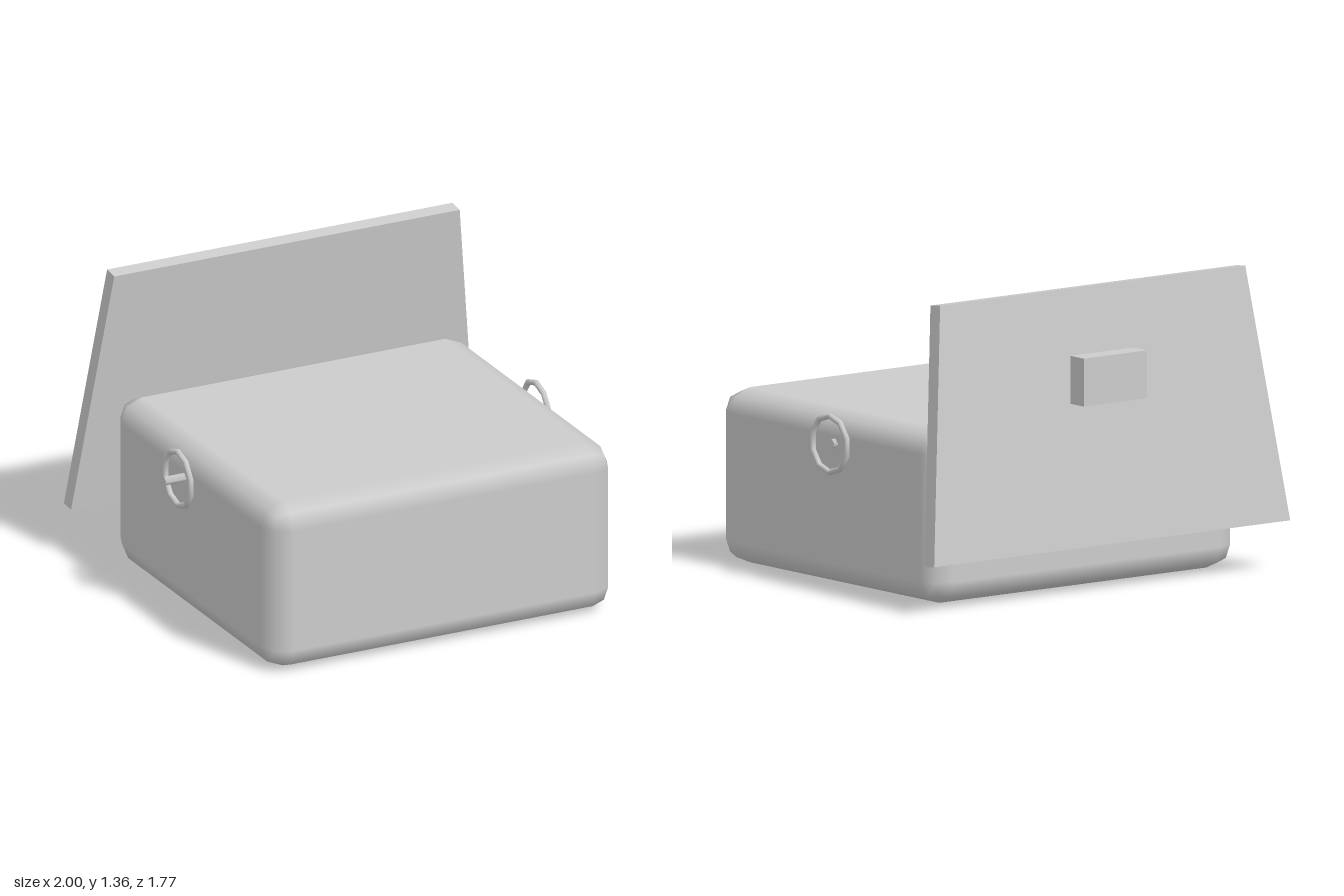
import * as THREE from 'three';
import { RoundedBoxGeometry } from 'three/addons/geometries/RoundedBoxGeometry.js';

export function createModel() {
  const model = new THREE.Group();
  const grey = new THREE.MeshStandardMaterial({ color: 0xcccccc });
  grey.name = 'light grey';

  const add = (name, geometry, x, y, z) => {
    const mesh = new THREE.Mesh(geometry, grey);
    mesh.name = name;
    mesh.position.set(x, y, z);
    model.add(mesh);
    return mesh;
  };

  // Soft-edged main box
  add('body', new RoundedBoxGeometry(1.714, 0.785, 1.57, 1, 0.107), 0, 0.3925, 0.1);

  // Leaning trapezoid panel behind the body, pivoting on its lower front edge
  const outline = new THREE.Shape([
    new THREE.Vector2(-1, 0),
    new THREE.Vector2(1, 0),
    new THREE.Vector2(0.857, 1.148),
    new THREE.Vector2(-0.857, 1.148),
  ]);
  const panelGeometry = new THREE.ExtrudeGeometry(outline, { depth: 0.07, bevelEnabled: false });
  panelGeometry.translate(0, 0, -0.07);
  const panel = add('backPanel', panelGeometry, 0, 0.215, -0.792);
  panel.rotation.x = THREE.MathUtils.degToRad(7);

  // Small block on the rear of the panel
  add('rearBlock', new THREE.BoxGeometry(0.355, 0.215, 0.097), 0, 0.968, -0.836);

  // Ten-sided ring on each side, with a vertex at the top
  const ringGeometry = new THREE.TorusGeometry(0.127, 0.0135, 8, 10);
  ringGeometry.rotateZ(Math.PI / 2);
  ringGeometry.rotateY(Math.PI / 2);
  add('leftRing', ringGeometry, 0.888, 0.645, 0.03);
  add('rightRing', ringGeometry, -0.888, 0.645, 0.03);

  // Four-sided pins, the right one reaching further out
  const addPin = (name, from, to) => {
    const geometry = new THREE.CylinderGeometry(0.021, 0.021, to - from, 4);
    geometry.rotateZ(Math.PI / 2);
    add(name, geometry, (from + to) / 2, 0.645, 0.03);
  };
  addPin('leftPin', 0.8, 0.877);
  addPin('rightPin', -0.957, -0.84);

  return model;
}
